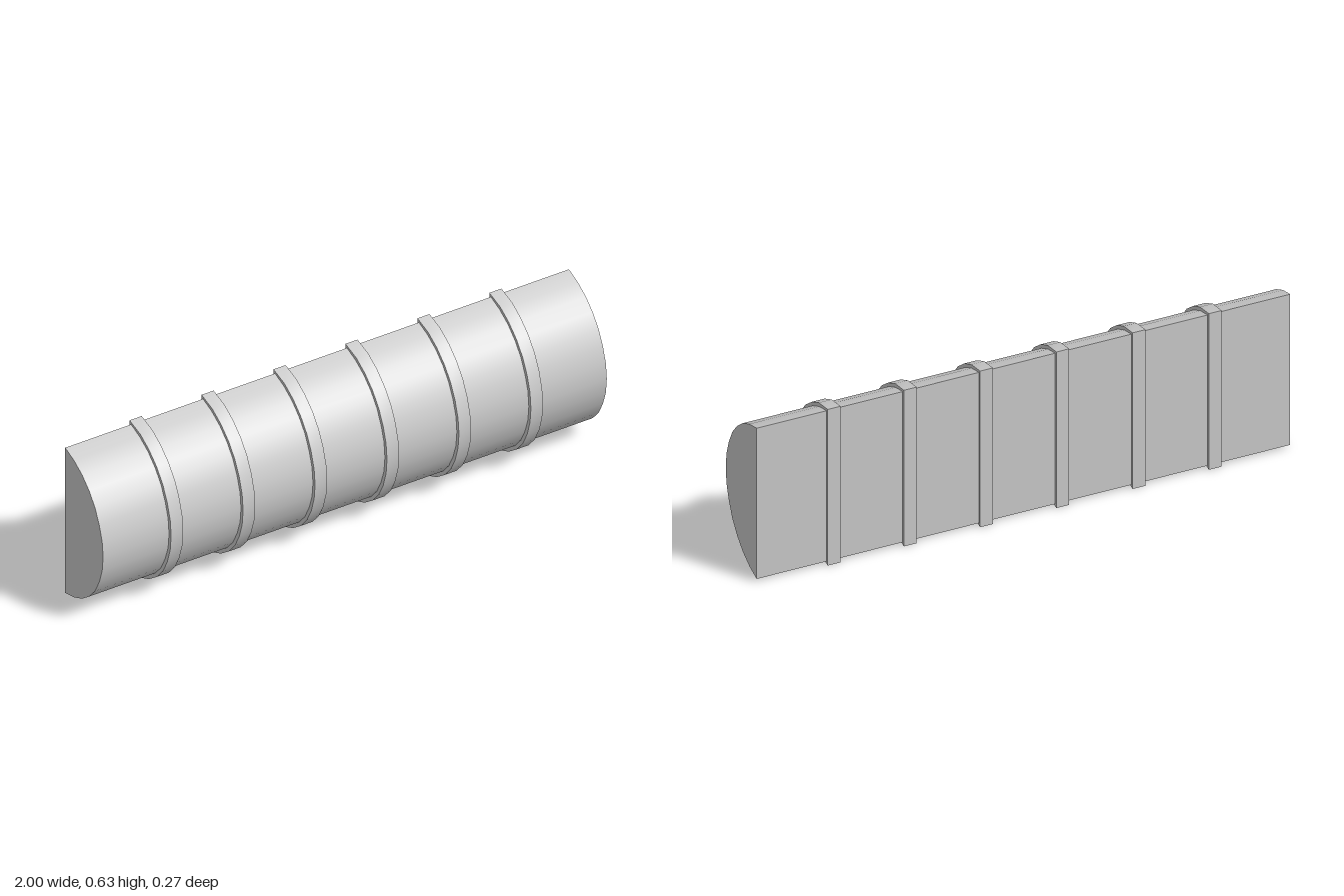
import * as THREE from 'three';
import { toCreasedNormals } from 'three/addons/utils/BufferGeometryUtils.js';

const MID_Y = 0.318;

// Upper half of each cross-section as [z, height above the middle], front to back
const BODY = [[0.123, 0], [0.117, 0.061], [0.098, 0.119], [0.07, 0.175], [0.031, 0.222], [-0.015, 0.26], [-0.069, 0.288], [-0.127, 0.305]];
const BAND = [[0.137, 0], [0.131, 0.062], [0.112, 0.124], [0.083, 0.181], [0.042, 0.231], [-0.009, 0.272], [-0.065, 0.301], [-0.137, 0.316]];

// Mirrors a half section about the middle and extrudes it along x
function halfRound(half, length) {
  const lower = half.slice(1).reverse().map(([z, h]) => [z, -h]);
  const points = [...lower, ...half].map(([z, h]) => new THREE.Vector2(-z, h));
  const geometry = new THREE.ExtrudeGeometry(new THREE.Shape(points), { depth: length, bevelEnabled: false });
  geometry.translate(0, 0, -length / 2).rotateY(Math.PI / 2);
  return toCreasedNormals(geometry, 0.6);
}

export function createModel() {
  const group = new THREE.Group();
  const material = new THREE.MeshStandardMaterial({ color: 0xcccccc });

  // Long half-round body with a flat back
  const body = new THREE.Mesh(halfRound(BODY, 2), material);
  body.name = 'body';
  body.position.y = MID_Y;
  group.add(body);

  // Six raised bands, evenly spaced along the body
  const bandGeometry = halfRound(BAND, 0.048);
  for (let i = 1; i <= 6; i++) {
    const band = new THREE.Mesh(bandGeometry, material);
    band.name = `band${i}`;
    band.position.set(-1 + (2 / 7) * i, MID_Y, 0);
    group.add(band);
  }
  return group;
}
